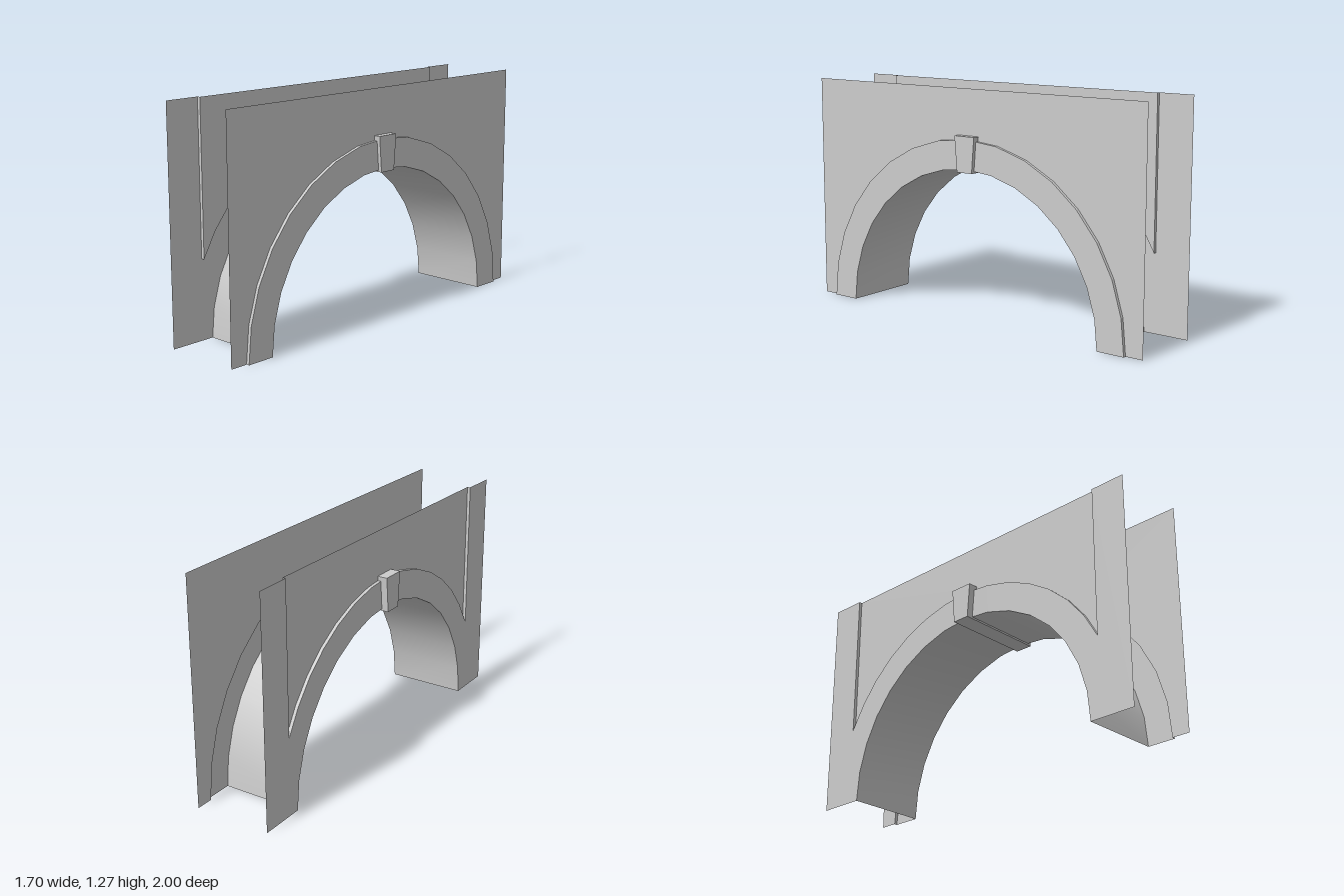
import * as THREE from 'three';

const HALF = 1.1, HEIGHT = 1.27;      // wall half length and height
const R_IN = 0.84, R_OUT = 1.0;       // arch ring radii
const FACE = 0.217, STEP = 0.018;     // wall plane offset and relief depth
const PANEL = 0.9;                    // half length of the recessed panel

const material = new THREE.MeshStandardMaterial({ color: 0xcccccc, side: THREE.DoubleSide });

// Points on an arch, from left to right, starting at a given angle above ground
function arc(radius, start = 0, segments = 16) {
  return Array.from({ length: segments + 1 }, (_, i) => {
    const a = Math.PI - start - (i / segments) * (Math.PI - 2 * start);
    return new THREE.Vector2(radius * Math.cos(a), radius * Math.sin(a));
  });
}

// Open strip swept along z between z0 and z1
function strip(points, z0, z1, smooth = false) {
  const pos = [], index = [];
  points.forEach((p, i) => {
    pos.push(p.x, p.y, z0, p.x, p.y, z1);
    if (i) {
      const a = 2 * i - 2;
      index.push(a, a + 1, a + 2, a + 2, a + 1, a + 3);
    }
  });
  let geo = new THREE.BufferGeometry();
  geo.setAttribute('position', new THREE.Float32BufferAttribute(pos, 3));
  geo.setIndex(index);
  if (!smooth) geo = geo.toNonIndexed();
  geo.computeVertexNormals();
  return geo;
}

export function createModel() {
  const bridge = new THREE.Group();
  bridge.name = 'archBridge';
  const v = (x, y) => new THREE.Vector2(x, y);

  function add(name, geo, z = 0) {
    const mesh = new THREE.Mesh(geo, material);
    mesh.name = name;
    mesh.position.z = z;
    bridge.add(mesh);
    return mesh;
  }
  const sheet = (name, points, z) => add(name, new THREE.ShapeGeometry(new THREE.Shape(points)), z);

  // Front wall with a raised arch ring
  sheet('frontWall', [v(-HALF, 0), ...arc(R_OUT), v(HALF, 0), v(HALF, HEIGHT), v(-HALF, HEIGHT)], FACE);
  sheet('frontRing', [...arc(R_OUT), ...arc(R_IN).reverse()], FACE + STEP);
  add('frontRingRim', strip(arc(R_OUT), FACE, FACE + STEP));

  // Back wall: end posts and ring in one plane, with the panel set in
  const start = Math.acos(PANEL / R_OUT);
  const panelArc = arc(R_OUT, start, 14);
  sheet('backFrame', [
    v(-HALF, 0), ...arc(R_IN), v(HALF, 0), v(HALF, HEIGHT), v(PANEL, HEIGHT),
    ...panelArc.slice().reverse(), v(-PANEL, HEIGHT), v(-HALF, HEIGHT),
  ], -FACE);
  sheet('backPanel', [...panelArc, v(PANEL, HEIGHT), v(-PANEL, HEIGHT)], -FACE + STEP);
  add('backRingRim', strip(panelArc, -FACE, -FACE + STEP));
  for (const s of [-1, 1]) {
    add('backPanelJamb', strip([v(s * PANEL, panelArc[0].y), v(s * PANEL, HEIGHT)], -FACE, -FACE + STEP));
  }

  // Smooth barrel vault joining the two walls
  add('barrelVault', strip(arc(R_IN), -FACE, FACE + STEP, true));

  // Tapered keystones and the band between them
  const key = new THREE.Shape([v(-0.05, 0.825), v(0.05, 0.825), v(0.066, 1.02), v(-0.066, 1.02)]);
  const keystone = (depth) => new THREE.ExtrudeGeometry(key, { depth, bevelEnabled: false });
  add('frontKeystone', keystone(0.038), FACE);
  add('backKeystone', keystone(0.038 + STEP), -FACE - 0.038);
  const band = add('keystoneBand', new THREE.BoxGeometry(0.1, 0.017, 2 * FACE));
  band.position.y = 0.8335;

  // Set the bridge diagonally
  bridge.rotation.y = 0.9045;
  const model = new THREE.Group();
  model.name = 'bridge';
  model.add(bridge);
  return model;
}
